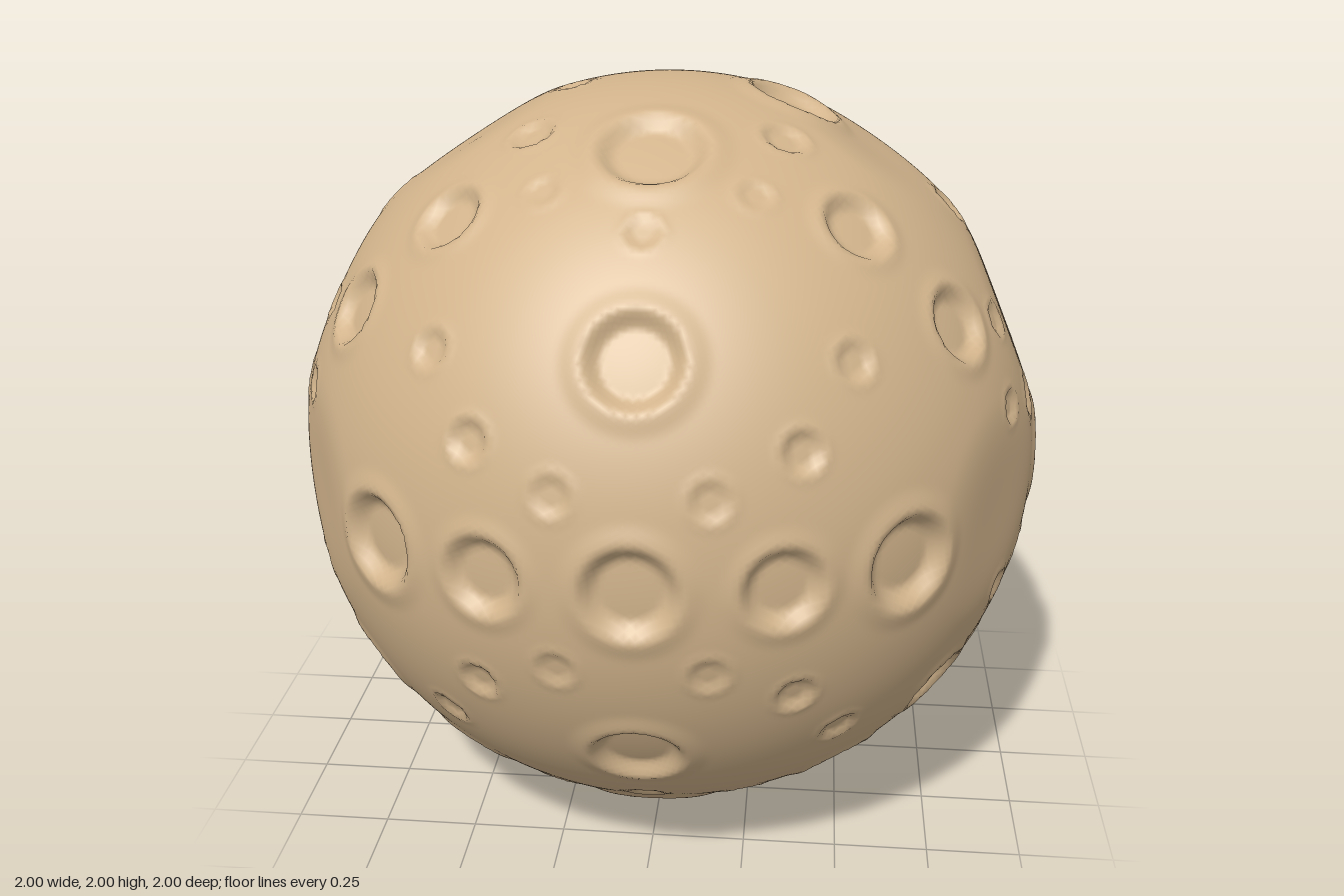
import * as THREE from 'three';
import { mergeVertices } from 'three/addons/utils/BufferGeometryUtils.js';

// Craters: [x, y, z, radius, relative depth, axes to mirror across]
const CRATERS = [
  // equatorial row on the front, and the two sides
  [0, 0, 1, 0.12, 0.26, ''],
  [0.35, 0, 0.94, 0.105, 0.28, 'x'],
  [0.64, 0, 0.77, 0.125, 0.28, 'x'],
  [1, 0, 0, 0.13, 0.2, 'x'],
  // centre-line craters
  [0, 0.51, 0.86, 0.12, 0.22, 'y'],
  [0, 0.9, 0.44, 0.14, 0.2, 'yz'],
  [0, 0.43, -0.9, 0.15, 0.2, ''],
  [0, -0.44, -0.9, 0.15, 0.14, ''],
  [0.33, 0.945, 0, 0.125, 0.24, ''],
  // medium craters in every octant
  [0.49, 0.73, 0.48, 0.095, 0.24, 'xyz'],
  [0.74, 0.49, 0.46, 0.1, 0.26, 'xyz'],
  [0.45, 0.48, -0.75, 0.09, 0.25, 'xy'],
  // small craters
  [0.49, 0.48, 0.73, 0.05, 0.22, 'xy'],
  [0.38, 0.31, 0.87, 0.052, 0.28, 'xy'],
  [0.37, 0.26, -0.89, 0.05, 0.24, 'xy'],
  [0.18, 0.22, 0.96, 0.05, 0.16, 'xyz'],
  [0.69, 0.18, -0.7, 0.05, 0.15, 'xy'],
  [0.89, 0.25, 0.37, 0.045, 0.22, 'xyz'],
  [0.96, 0.22, 0.19, 0.055, 0.2, 'xyz'],
  [0.85, 0.45, 0.28, 0.045, 0.18, 'xyz'],
  [0.31, 0.9, 0.31, 0.06, 0.2, 'xyz'],
  [0.25, 0.81, 0.53, 0.045, 0.12, 'xyz'],
  [0, 0.75, 0.66, 0.045, 0.16, 'y'],
  [0, 0.72, -0.7, 0.04, 0.18, 'y'],
  [0.74, 0.67, 0, 0.058, 0.24, 'xy'],
  [0.46, -0.89, 0, 0.05, 0.22, 'x'],
  [0.26, -0.97, 0, 0.045, 0.2, 'x'],
  [-0.25, 0.97, 0, 0.045, 0.14, ''],
];

// Broad shallow basins: [x, y, z, radius, depth, axes to mirror across]
const BASINS = [
  [0.92, 0.4, 0, 0.3, 0.025, 'xy'],
  [0.88, 0, 0.46, 0.3, 0.025, 'xz'],
  [0.53, 0.83, 0, 0.28, 0.025, 'xy'],
  [0.53, 0, -0.83, 0.28, 0.025, 'x'],
];

// Repeat each entry on the mirrored sides
function expand(list) {
  return list.flatMap(([x, y, z, radius, depth, axes]) => {
    let dirs = [new THREE.Vector3(x, y, z).normalize()];
    for (const axis of axes) {
      dirs = dirs.flatMap((d) => {
        const m = d.clone();
        m[axis] *= -1;
        return d[axis] === 0 ? [d] : [d, m];
      });
    }
    return dirs.map((dir) => ({ dir, radius, depth }));
  });
}

// Flat floor, steep wall, raised rim fading outwards
function craterHeight(t, radius, depth) {
  const rim = 0.075 * radius;
  if (t < 1) {
    return -depth * radius + (depth * radius + rim) * THREE.MathUtils.smoothstep(t, 0.66, 1.04);
  }
  const edge = -depth * radius + (depth * radius + rim) * THREE.MathUtils.smoothstep(1, 0.66, 1.04);
  return edge * (1 - THREE.MathUtils.smoothstep(t, 1, 1.5));
}

export function createModel() {
  const craters = expand(CRATERS);
  const basins = expand(BASINS);

  // Evenly divided sphere with shared vertices for smooth normals
  let geometry = new THREE.IcosahedronGeometry(1, 74);
  geometry.deleteAttribute('uv');
  geometry.deleteAttribute('normal');
  geometry = mergeVertices(geometry, 1e-5);

  // Push each vertex along its own direction
  const pos = geometry.attributes.position;
  const v = new THREE.Vector3();
  for (let i = 0; i < pos.count; i++) {
    v.fromBufferAttribute(pos, i).normalize();
    let h = 0;
    for (const { dir, radius, depth } of basins) {
      const t = v.distanceTo(dir) / radius;
      if (t < 1) h -= depth * (1 - t * t) ** 2;
    }
    for (const { dir, radius, depth } of craters) {
      const t = v.distanceTo(dir) / radius;
      if (t < 1.5) h += craterHeight(t, radius, depth);
    }
    v.multiplyScalar(1 + h);
    pos.setXYZ(i, v.x, v.y, v.z);
  }
  geometry.computeVertexNormals();

  const sand = new THREE.MeshStandardMaterial({ color: 0xd2b48c });
  sand.name = 'sandyRock';
  const moon = new THREE.Mesh(geometry, sand);
  moon.name = 'crateredMoon';
  moon.position.y = 1;

  const group = new THREE.Group();
  group.name = 'moon';
  group.add(moon);
  return group;
}
